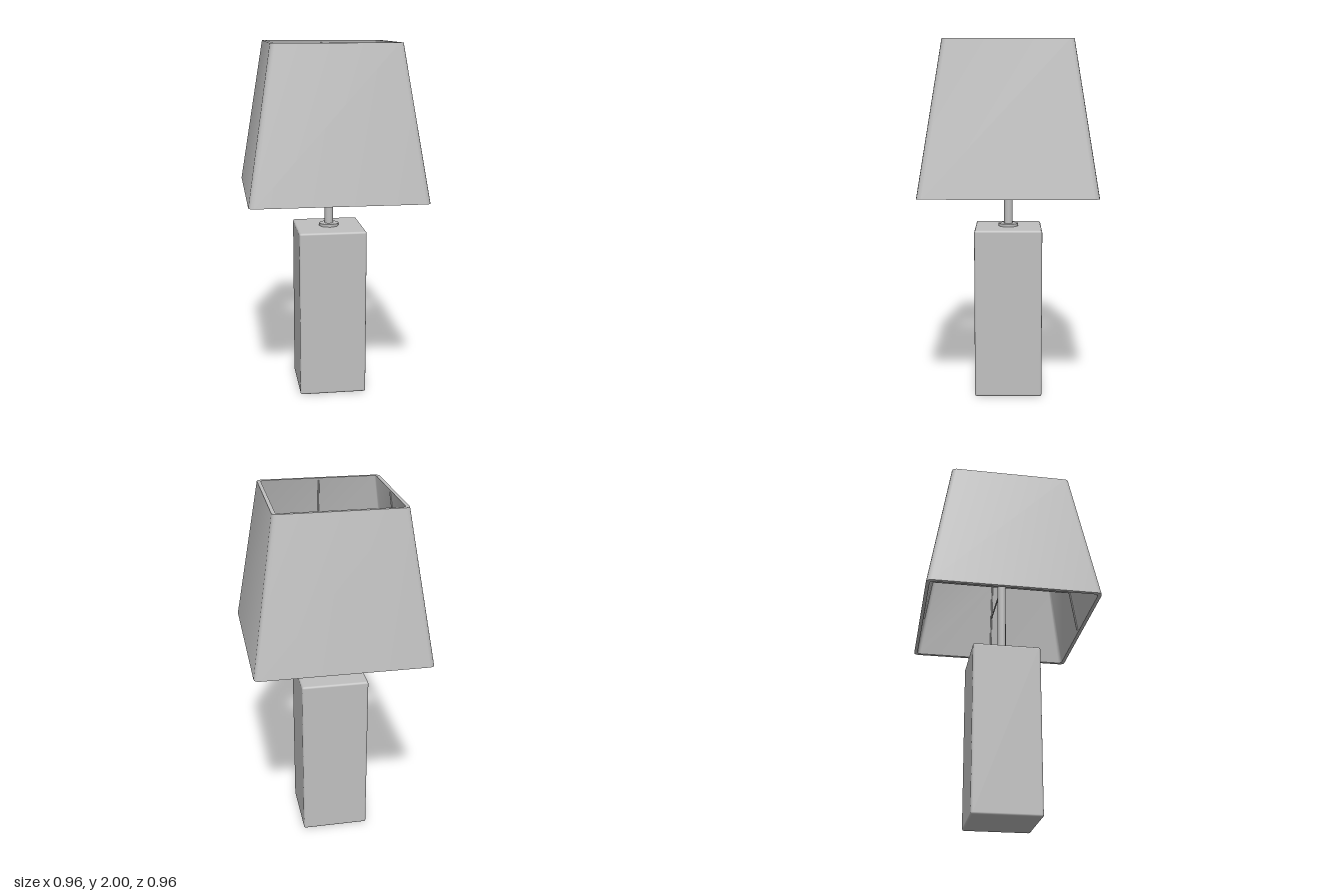
import * as THREE from 'three';
import { toCreasedNormals } from 'three/addons/utils/BufferGeometryUtils.js';
import { RoundedBoxGeometry } from 'three/addons/geometries/RoundedBoxGeometry.js';

const BOTTOM = 1.17, TOP = 2, SPOKE_Y = 1.43;
const innerHalf = (y) => THREE.MathUtils.lerp(0.46, 0.328, (y - BOTTOM) / (TOP - BOTTOM));

// Horizontal square ring with rounded corners, running from +x towards +z
function squareRing(half, radius, y, steps = 3) {
  const points = [];
  for (let corner = 0; corner < 4; corner++) {
    const mid = Math.PI / 4 + corner * Math.PI / 2;
    const c = (half - radius) * Math.SQRT2;
    for (let i = 0; i <= steps; i++) {
      const a = corner * Math.PI / 2 + (i / steps) * Math.PI / 2;
      points.push([Math.cos(mid) * c + Math.cos(a) * radius, y, Math.sin(mid) * c + Math.sin(a) * radius]);
    }
  }
  return points;
}

// Joins successive rings with quads
function loft(rings) {
  const n = rings[0].length, index = [];
  for (let r = 0; r < rings.length - 1; r++) {
    for (let i = 0; i < n; i++) {
      const a = r * n + i, b = r * n + (i + 1) % n;
      index.push(a, a + n, b, b, a + n, b + n);
    }
  }
  const geometry = new THREE.BufferGeometry();
  geometry.setAttribute('position', new THREE.Float32BufferAttribute(rings.flat(2), 3));
  geometry.setIndex(index);
  return toCreasedNormals(geometry, 1);
}

export function createModel() {
  const lamp = new THREE.Group();
  lamp.name = 'tableLamp';
  const grey = new THREE.MeshStandardMaterial({ color: 0xc0c0c0 });
  grey.name = 'grey';

  const add = (name, geometry, x = 0, y = 0, z = 0, parent = lamp) => {
    const mesh = new THREE.Mesh(geometry, grey);
    mesh.name = name;
    mesh.position.set(x, y, z);
    parent.add(mesh);
    return mesh;
  };

  // Square column, collar, stem and ball
  add('base', new RoundedBoxGeometry(0.38, 0.96, 0.38, 2, 0.012), 0, 0.48, 0);
  add('collar', toCreasedNormals(new THREE.CylinderGeometry(0.057, 0.057, 0.02, 8), 0.9), 0, 0.966, 0);
  add('stem', new THREE.CylinderGeometry(0.024, 0.024, 0.49, 12), 0, 1.205, 0);
  add('finial', new THREE.SphereGeometry(0.045, 8, 8), 0, 1.47, 0);

  // Tapered shade with wall thickness
  add('shade', loft([
    squareRing(0.48, 0.028, BOTTOM),
    squareRing(0.348, 0.024, TOP),
    squareRing(0.328, 0.016, TOP),
    squareRing(0.46, 0.02, BOTTOM),
    squareRing(0.48, 0.028, BOTTOM),
  ]));

  // Wire frame: four spokes, each meeting a rib up the inside of the wall
  const r = 0.0045;
  for (let i = 0; i < 4; i++) {
    const arm = new THREE.Group();
    arm.name = 'frameArm' + (i + 1);
    arm.rotation.y = i * Math.PI / 2;
    lamp.add(arm);

    const length = innerHalf(SPOKE_Y);
    const spoke = add('spoke', new THREE.CylinderGeometry(r, r, length, 8), length / 2, SPOKE_Y, 0, arm);
    spoke.rotation.z = Math.PI / 2;

    const low = new THREE.Vector3(innerHalf(BOTTOM + 0.01) - r, BOTTOM + 0.01, 0);
    const high = new THREE.Vector3(innerHalf(TOP - 0.01) - r * 0.4, TOP - 0.01, 0);
    add('rib', new THREE.TubeGeometry(new THREE.LineCurve3(low, high), 1, r, 8), 0, 0, 0, arm);
  }
  return lamp;
}
